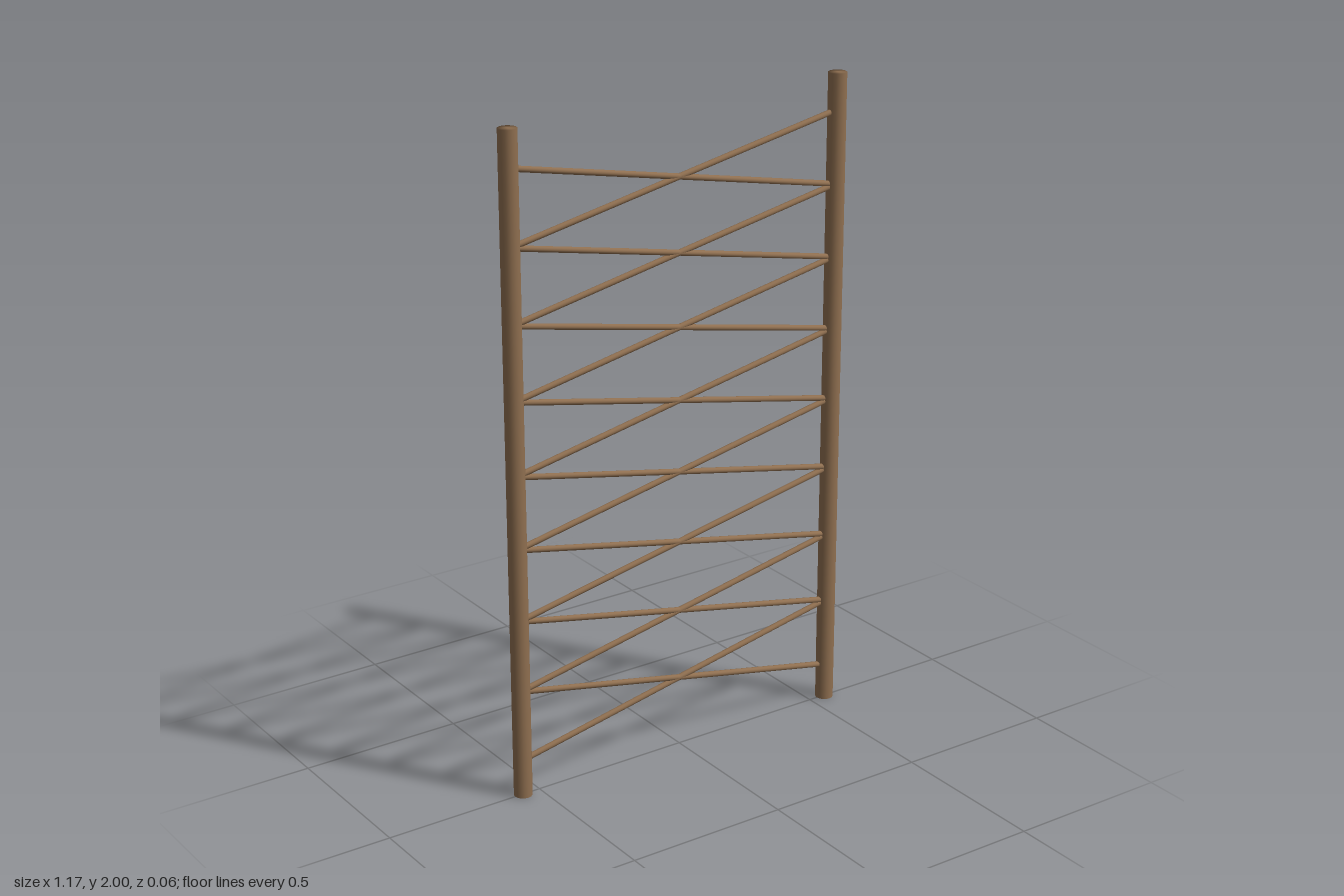
import * as THREE from 'three';
import { mergeVertices } from 'three/addons/utils/BufferGeometryUtils.js';

const STEP = 2 / 9; // vertical spacing of the crossings
const POST_X = 2.5 * STEP;

// Round pole whose caps share smooth normals with its sides
function poleGeometry(radius, length, sides) {
  const cylinder = new THREE.CylinderGeometry(radius, radius, length, sides);
  cylinder.deleteAttribute('uv');
  cylinder.deleteAttribute('normal');
  const geometry = mergeVertices(cylinder, 1e-5);
  geometry.computeVertexNormals();
  return geometry;
}

export function createModel() {
  const model = new THREE.Group();
  model.name = 'crossBracedTrellis';

  const wood = new THREE.MeshStandardMaterial({ color: 0x8f6f50 });
  wood.name = 'brown wood';

  // Upright posts
  const postGeometry = poleGeometry(0.0278, 2, 16);
  for (const side of [-1, 1]) {
    const post = new THREE.Mesh(postGeometry, wood);
    post.name = side > 0 ? 'leftPost' : 'rightPost';
    post.position.set(side * POST_X, 1, 0);
    model.add(post);
  }

  // Eight pairs of thin braces crossing between the posts
  const braceGeometry = poleGeometry(0.0089, Math.hypot(2 * POST_X, STEP), 12);
  const up = new THREE.Vector3(0, 1, 0);
  for (let i = 1; i <= 8; i++) {
    const pair = new THREE.Group();
    pair.name = `bracePair${i}`;
    pair.position.y = i * STEP;
    for (const side of [-1, 1]) {
      const brace = new THREE.Mesh(braceGeometry, wood);
      brace.name = side > 0 ? 'risingBrace' : 'fallingBrace';
      const direction = new THREE.Vector3(2 * POST_X, side * STEP, 0).normalize();
      brace.quaternion.setFromUnitVectors(up, direction);
      pair.add(brace);
    }
    model.add(pair);
  }

  return model;
}
